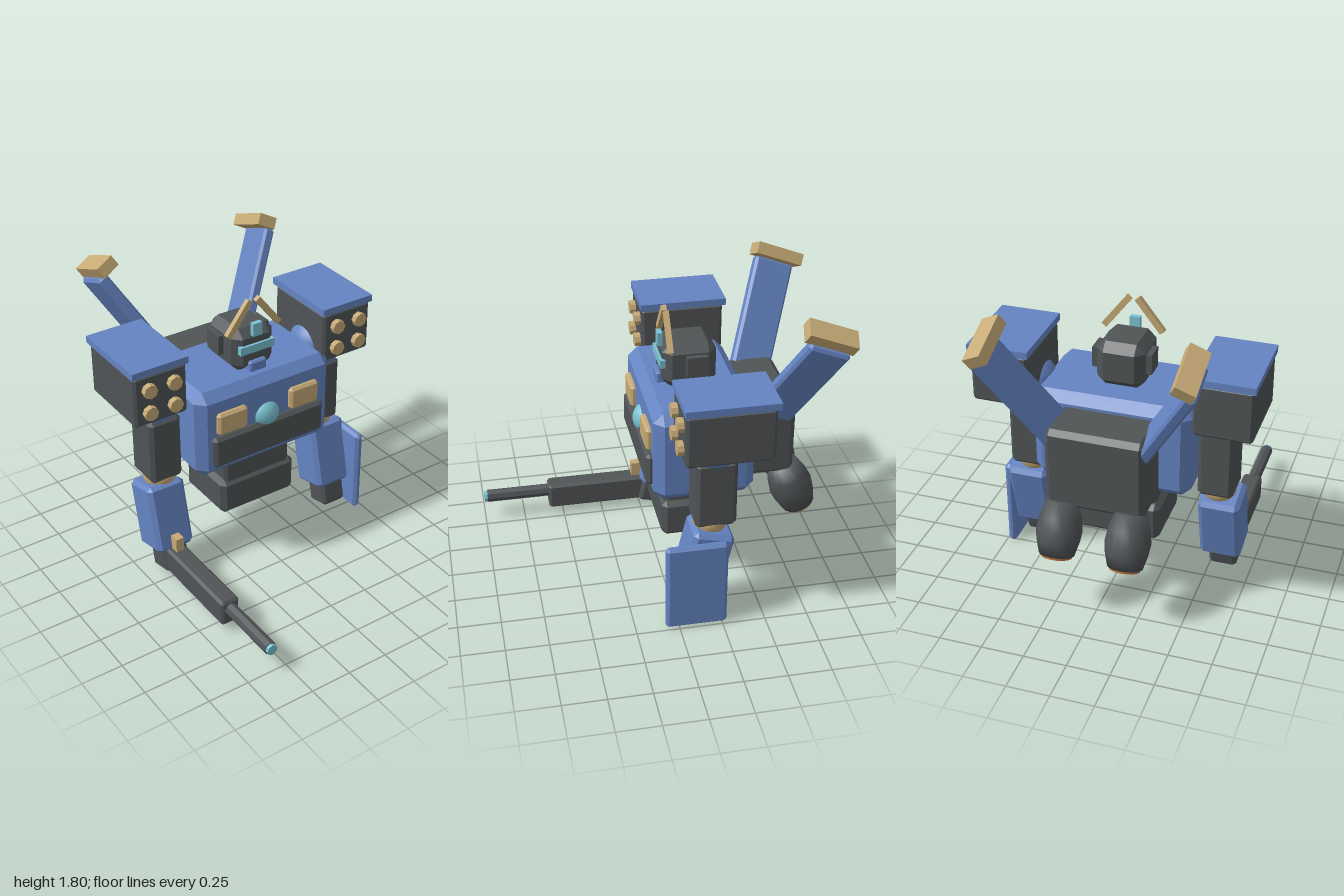
import * as THREE from 'three';
import { ConvexGeometry } from 'three/addons/geometries/ConvexGeometry.js';

const mat = (name, color) => {
  const m = new THREE.MeshStandardMaterial({ color });
  m.name = name;
  return m;
};

// Box with every edge cut at 45 degrees
function chamferBox(w, h, d, b) {
  const pts = [];
  for (const sx of [-1, 1]) for (const sy of [-1, 1]) for (const sz of [-1, 1]) {
    const x = w / 2, y = h / 2, z = d / 2;
    pts.push(
      new THREE.Vector3(sx * x, sy * (y - b), sz * (z - b)),
      new THREE.Vector3(sx * (x - b), sy * y, sz * (z - b)),
      new THREE.Vector3(sx * (x - b), sy * (y - b), sz * z));
  }
  return new ConvexGeometry(pts);
}

// Faceted cylinder lying along z
function facetedRod(r, length, sides = 8) {
  const g = new THREE.CylinderGeometry(r, r, length, sides).rotateX(Math.PI / 2).toNonIndexed();
  g.computeVertexNormals();
  return g;
}

export function createModel() {
  const blue = mat('armour blue', 0x6584c2);
  const dark = mat('dark grey', 0x505456);
  const gold = mat('pale gold', 0xc6aa76);
  const cyan = mat('cyan glass', 0x7ac2d2);
  const copper = mat('copper', 0xb8733a);

  const robot = new THREE.Group();
  robot.name = 'robot';

  const add = (name, geo, material, x, y, z, parent = robot) => {
    const m = new THREE.Mesh(geo, material);
    m.name = name;
    m.position.set(x, y, z);
    parent.add(m);
    return m;
  };
  // Box given by its size, bevel (0 for plain) and centre
  const box = (name, material, [w, h, d], b, [x, y, z], parent) =>
    add(name, b ? chamferBox(w, h, d, b) : new THREE.BoxGeometry(w, h, d), material, x, y, z, parent);

  // Body
  box('torso', blue, [0.92, 0.555, 0.58], 0.055, [0, 0.962, -0.2]);
  box('waist', dark, [0.46, 0.24, 0.36], 0.02, [0, 0.62, -0.19]);
  box('pelvis', dark, [0.52, 0.235, 0.415], 0.03, [0, 0.425, -0.2]);
  box('chestBar', dark, [0.76, 0.2, 0.09], 0.02, [0, 0.86, 0.08]);
  add('chestOrb', new THREE.SphereGeometry(0.1, 20, 14), cyan, 0, 0.985, 0.035);
  box('backpack', dark, [0.57, 0.48, 0.3], 0.03, [0, 0.93, -0.615]);

  // Head
  box('head', dark, [0.28, 0.27, 0.31], 0.05, [0, 1.365, -0.175]);
  box('visor', cyan, [0.23, 0.05, 0.03], 0, [0, 1.385, -0.02]);
  box('crest', cyan, [0.06, 0.08, 0.03], 0, [0, 1.5, -0.02]);
  box('chin', blue, [0.115, 0.07, 0.07], 0.01, [0, 1.27, -0.03]);

  for (const s of [-1, 1]) {
    // Head details and chest plates
    box('ear', dark, [0.05, 0.12, 0.12], 0, [s * 0.148, 1.38, -0.208]);
    const antenna = box('antenna', gold, [0.036, 0.24, 0.03], 0, [s * 0.098, 1.575, -0.053]);
    antenna.rotation.z = s * 0.66;
    box('chestPlate', gold, [0.2, 0.14, 0.06], 0.015, [s * 0.247, 1.04, 0.09]);

    // Arm
    add('shoulder', new THREE.SphereGeometry(0.16, 24, 16), blue, s * 0.572, 1.15, -0.22);
    box('upperArm', dark, [0.205, 0.42, 0.235], 0.022, [s * 0.565, 0.84, -0.217]);
    add('elbow', new THREE.SphereGeometry(0.1, 20, 14), gold, s * 0.565, 0.63, -0.2);
    const forearm = new THREE.Group();
    forearm.name = 'forearm';
    forearm.position.set(s * 0.583, 0.385, -0.16);
    forearm.rotation.x = -0.23;
    robot.add(forearm);
    box('forearmShell', blue, [0.242, 0.43, 0.24], 0.025, [0, 0, 0], forearm);
    box('hand', dark, [0.165, 0.16, 0.16], 0.02, [0, -0.275, 0.015], forearm);

    // Missile pod
    box('missilePod', dark, [0.335, 0.315, 0.49], 0.015, [s * 0.6375, 1.28, -0.255]);
    box('podLid', blue, [0.355, 0.042, 0.515], 0, [s * 0.6375, 1.458, -0.26]);
    for (const x of [0.558, 0.716]) for (const y of [1.35, 1.208])
      add('missile', facetedRod(0.043, 0.06), gold, s * x, y, -0.005);

    // Wing and its tip lean outwards and back
    const wing = box('wing', blue, [0.07, 0.68, 0.245], 0.015, [s * 0.42, 1.37, -0.727]);
    const tip = box('wingTip', gold, [0.118, 0.07, 0.295], 0, [s * 0.55, 1.7, -0.845]);
    for (const p of [wing, tip]) p.rotation.set(-0.37, 0, -s * 0.5);

    // Thruster
    const thruster = new THREE.Group();
    thruster.name = 'thruster';
    thruster.position.set(s * 0.2, 0.42, -0.83);
    thruster.rotation.x = 0.37;
    robot.add(thruster);
    const profile = [[0, 0], [0.1, 0], [0.122, 0.08], [0.13, 0.14], [0.118, 0.22], [0.09, 0.31], [0, 0.31]]
      .map(([r, y]) => new THREE.Vector2(r, y));
    add('thrusterBell', new THREE.LatheGeometry(profile, 16), dark, 0, 0, 0, thruster);
    add('nozzle', new THREE.CylinderGeometry(0.092, 0.088, 0.02, 16), copper, 0, -0.005, 0, thruster);
  }

  // Rifle in the right hand
  const rifle = new THREE.Group();
  rifle.name = 'rifle';
  rifle.position.set(-0.59, 0, 0);
  robot.add(rifle);
  box('rifleBody', dark, [0.117, 0.165, 0.62], 0.015, [0, 0.137, 0.28], rifle);
  add('barrel', facetedRod(0.039, 0.42), dark, 0, 0.162, 0.77, rifle);
  add('muzzle', facetedRod(0.033, 0.04), cyan, 0, 0.162, 0.98, rifle);
  box('sight', gold, [0.05, 0.1, 0.06], 0, [0, 0.258, 0.02], rifle);

  // Shield on the left forearm
  box('shield', blue, [0.052, 0.55, 0.355], 0.018, [0.714, 0.285, -0.1]);

  return robot;
}
